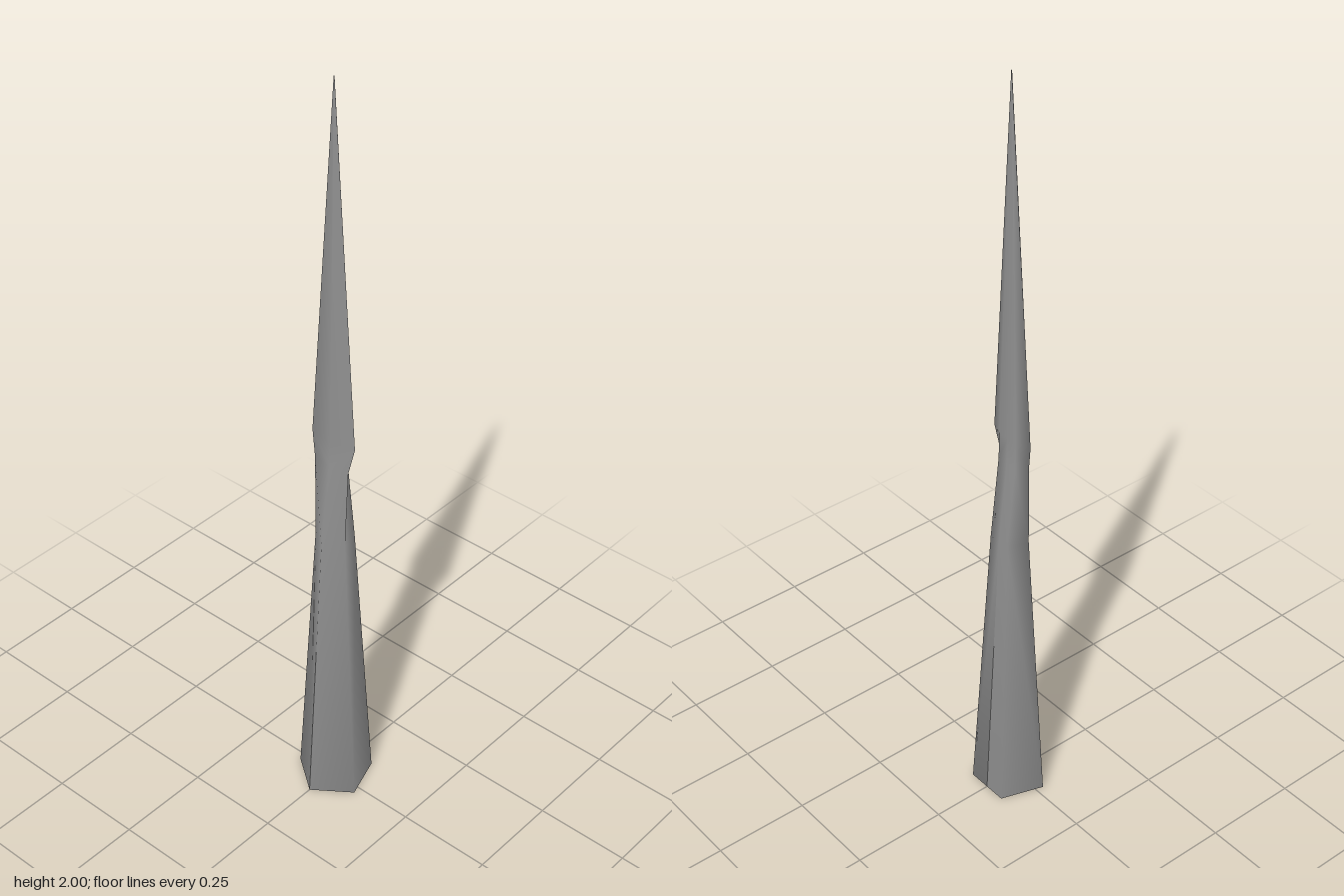
import * as THREE from 'three';

// Half of a five-sided ring, from the ridge around to the middle of the flat back
// [height, ridge x, side corner x, side corner z, back corner x, back corner z]
const RINGS = [
  [0, -0.09, -0.021, 0.094, 0.09, 0.058], // base
  [0.78, -0.04, -0.008, 0.047, 0.046, 0.031], // shaft top
  [1.0, -0.012, -0.003, 0.052, 0.021, 0.03], // pinched neck
  [1.07, -0.009, 0.004, 0.066, 0.019, 0.03], // widest part of the blade
  [1.998, 0.004, 0.005, 0.001, 0.006, 0.0005], // tip
];

// Smooth skin over one half; side is +1 for the front half, -1 for the back half
function halfSpike(side) {
  const n = 4;
  const points = [];
  for (const [y, ridgeX, sideX, sideZ, backX, backZ] of RINGS) {
    points.push(ridgeX, y, 0, sideX, y, side * sideZ, backX, y, side * backZ, backX, y, 0);
  }

  const index = [];
  const face = (a, b, c) => index.push(...(side > 0 ? [a, b, c] : [a, c, b]));
  for (let r = 0; r < RINGS.length - 1; r++) {
    for (let i = 0; i < n - 1; i++) {
      const a = r * n + i;
      face(a, a + 1, a + 1 + n);
      face(a, a + 1 + n, a + n);
    }
  }
  // Base and tip caps
  const top = (RINGS.length - 1) * n;
  for (let i = 1; i < n - 1; i++) {
    face(0, i + 1, i);
    face(top, top + i, top + i + 1);
  }

  const geometry = new THREE.BufferGeometry();
  geometry.setAttribute('position', new THREE.Float32BufferAttribute(points, 3));
  geometry.setIndex(index);
  geometry.computeVertexNormals();

  // The seam is creased at the base and blends smooth from the shaft top upwards
  const normal = geometry.attributes.normal;
  const v = new THREE.Vector3();
  v.fromBufferAttribute(normal, 2);
  normal.setXYZ(3, v.x, v.y, v.z);
  for (let r = 1; r < RINGS.length; r++) {
    for (const i of [r * n, r * n + 3]) {
      v.fromBufferAttribute(normal, i).setZ(0).normalize();
      normal.setXYZ(i, v.x, v.y, v.z);
    }
  }
  return geometry;
}

export function createModel() {
  const group = new THREE.Group();
  group.name = 'spike';
  const material = new THREE.MeshStandardMaterial({ color: 0x909090 });

  // Two mirrored halves of the tapered shaft and its thin pointed blade
  for (const [name, side] of [['frontHalf', 1], ['backHalf', -1]]) {
    const half = new THREE.Mesh(halfSpike(side), material);
    half.name = name;
    group.add(half);
  }
  return group;
}
